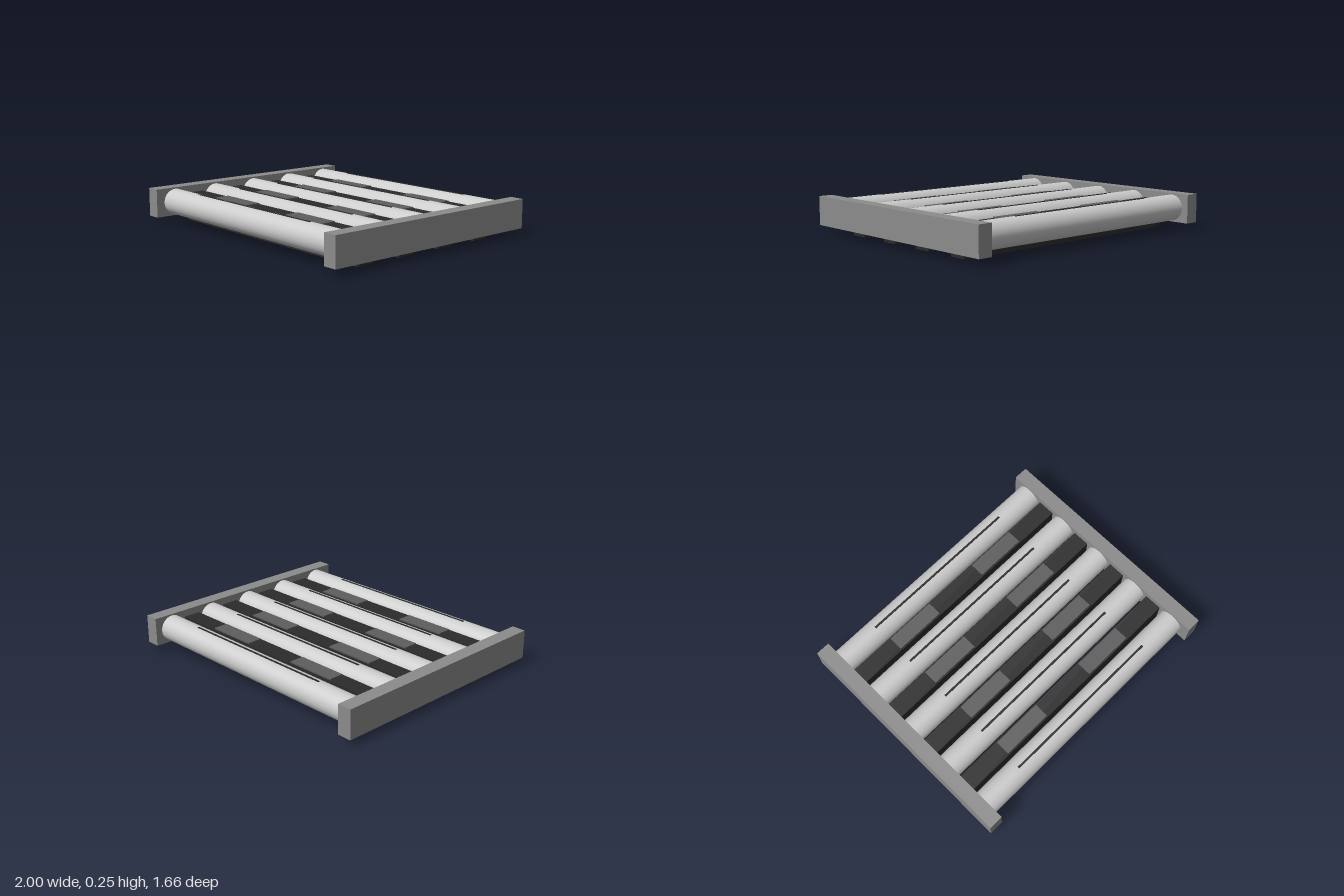
import * as THREE from 'three';

const mat = (name, color) => {
  const m = new THREE.MeshStandardMaterial({ color });
  m.name = name;
  return m;
};

export function createModel() {
  const group = new THREE.Group();
  const railGray = mat('rail gray', 0x8c8c8c);
  const rollerSilver = mat('roller silver', 0xcccccc);
  const barBlack = mat('bar black', 0x2b2b2b);
  const padGray = mat('pad gray', 0x5e5e5e);

  const add = (name, geometry, material, x, y, z) => {
    const mesh = new THREE.Mesh(geometry, material);
    mesh.name = name;
    mesh.position.set(x, y, z);
    group.add(mesh);
    return mesh;
  };

  const pitch = 0.344, midZ = -0.007;

  // Side rails
  const railGeo = new THREE.BoxGeometry(0.1, 0.2, 1.664);
  for (const s of [-1, 1]) add(s > 0 ? 'leftRail' : 'rightRail', railGeo, railGray, s * 0.95, 0.15, 0);

  // Rollers spanning the rails, each with a thin dark line along the top
  const rollerGeo = new THREE.CylinderGeometry(0.09, 0.09, 1.8, 48).rotateZ(Math.PI / 2);
  const lineGeo = new THREE.BoxGeometry(1.19, 0.008, 0.015);
  for (let i = -2; i <= 2; i++) {
    const z = midZ + i * pitch;
    add('roller', rollerGeo, rollerSilver, 0, 0.15, z);
    add('rollerLine', lineGeo, barBlack, 0, 0.238, z);
  }

  // Cross bars between the rollers, each carrying two flat pads
  const barGeo = new THREE.BoxGeometry(1.8, 0.2, 0.123);
  const padGeo = new THREE.BoxGeometry(0.365, 0.009, 0.104);
  for (let i = 0; i < 4; i++) {
    const z = midZ + (i - 1.5) * pitch;
    add('crossBar', barGeo, barBlack, 0, 0.1, z);
    for (const s of [-1, 1]) add('pad', padGeo, padGray, s * 0.388, 0.2045, z);
  }
  return group;
}
